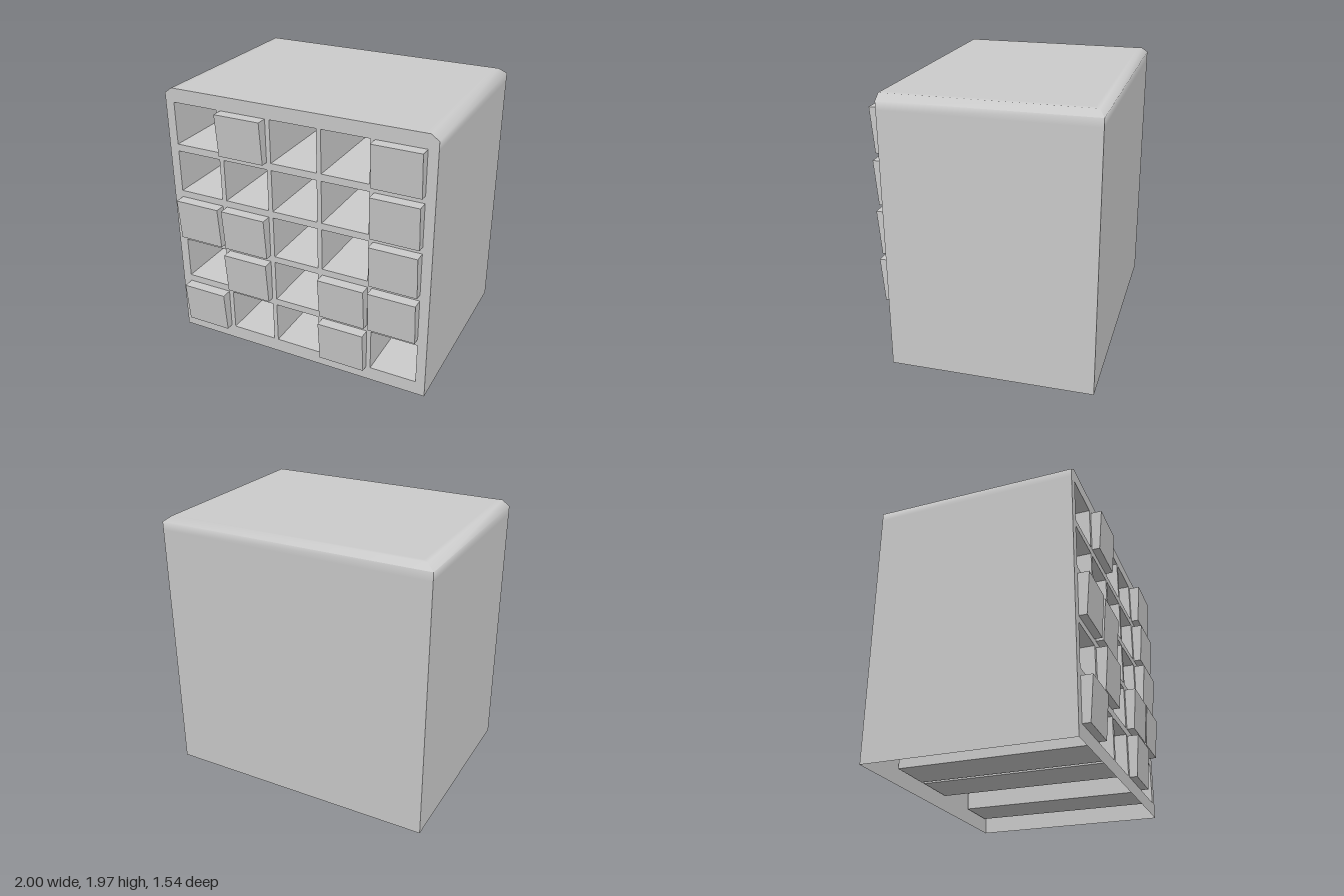
import * as THREE from 'three';
import { toCreasedNormals } from 'three/addons/utils/BufferGeometryUtils.js';

const FRONT = 0.69, BACK = -0.77, HEIGHT = 1.97;
const COLUMNS = [-0.759, -0.379, 0, 0.379, 0.757];
const ROWS = [1.712, 1.347, 0.985, 0.625, 0.261];
const W = 0.346, H = 0.312;
// D = closed drawer, . = empty slot; rows from the top, columns from -x
const LAYOUT = ['.D..D', '....D', 'DD..D', '.D.DD', 'D..D.'];

const material = new THREE.MeshStandardMaterial({ color: 0xcccccc, side: THREE.DoubleSide });

function add(parent, geometry, name) {
  const mesh = new THREE.Mesh(geometry, material);
  mesh.name = name;
  parent.add(mesh);
  return mesh;
}

// Side walls, back and top with softly bevelled upper edges; open below
function shellGeometry() {
  // [y, half width, back z]
  const rings = [
    [0, 1, BACK], [1.87, 1, BACK], [1.93, 1, BACK],
    [HEIGHT, 0.945, BACK + 0.04], [HEIGHT, 0.91, BACK + 0.07],
  ];
  const positions = [], index = [];
  for (const [y, x, z] of rings) {
    positions.push(x, y, FRONT, x, y, z, -x, y, z, -x, y, FRONT);
  }
  for (let r = 0; r < rings.length - 1; r++) {
    for (let i = 0; i < 3; i++) {
      const a = r * 4 + i, b = a + 1, c = a + 5, d = a + 4;
      index.push(a, b, c, a, c, d);
    }
  }
  const t = (rings.length - 1) * 4;
  index.push(t, t + 1, t + 2, t, t + 2, t + 3);
  const g = new THREE.BufferGeometry();
  g.setAttribute('position', new THREE.Float32BufferAttribute(positions, 3));
  g.setIndex(index);
  return toCreasedNormals(g, 1.0);
}

// Face frame with a hole for every slot
function frameGeometry() {
  const shape = new THREE.Shape([
    [-1, 0], [1, 0], [1, 1.93], [0.945, HEIGHT], [-0.945, HEIGHT], [-1, 1.93],
  ].map(([x, y]) => new THREE.Vector2(x, y)));
  for (const x of COLUMNS) for (const y of ROWS) {
    shape.holes.push(new THREE.Path([
      [-1, -1], [-1, 1], [1, 1], [1, -1],
    ].map(([u, v]) => new THREE.Vector2(x + u * W / 2, y + v * H / 2))));
  }
  return new THREE.ShapeGeometry(shape).translate(0, 0, FRONT);
}

// Box from z0 to z1 with one of its six faces left out
function openBox(z0, z1, openFace) {
  const g = new THREE.BoxGeometry(W, H, z1 - z0).translate(0, 0, (z0 + z1) / 2);
  const index = Array.from(g.index.array);
  index.splice(openFace * 6, 6);
  g.setIndex(index);
  g.clearGroups();
  return g;
}

// Drawer front: hollow behind, leaning out towards its top
function drawerGeometry() {
  const g = openBox(FRONT, 0.77, 5);
  const p = g.attributes.position;
  for (let i = 0; i < p.count; i++) {
    if (p.getZ(i) > 0.75 && p.getY(i) < 0) p.setZ(i, 0.745);
  }
  const flat = g.toNonIndexed();
  flat.computeVertexNormals();
  return flat;
}

export function createModel() {
  const model = new THREE.Group();
  model.name = 'drawerCabinet';
  add(model, shellGeometry(), 'cabinetShell');
  add(model, frameGeometry(), 'frontFrame');

  const drawer = drawerGeometry();
  const slot = openBox(BACK + 0.02, FRONT, 4);
  LAYOUT.forEach((row, r) => [...row].forEach((kind, c) => {
    const isDrawer = kind === 'D';
    const mesh = add(model, isDrawer ? drawer : slot, isDrawer ? 'drawerFront' : 'emptySlot');
    mesh.position.set(COLUMNS[c], ROWS[r], 0);
  }));
  return model;
}
